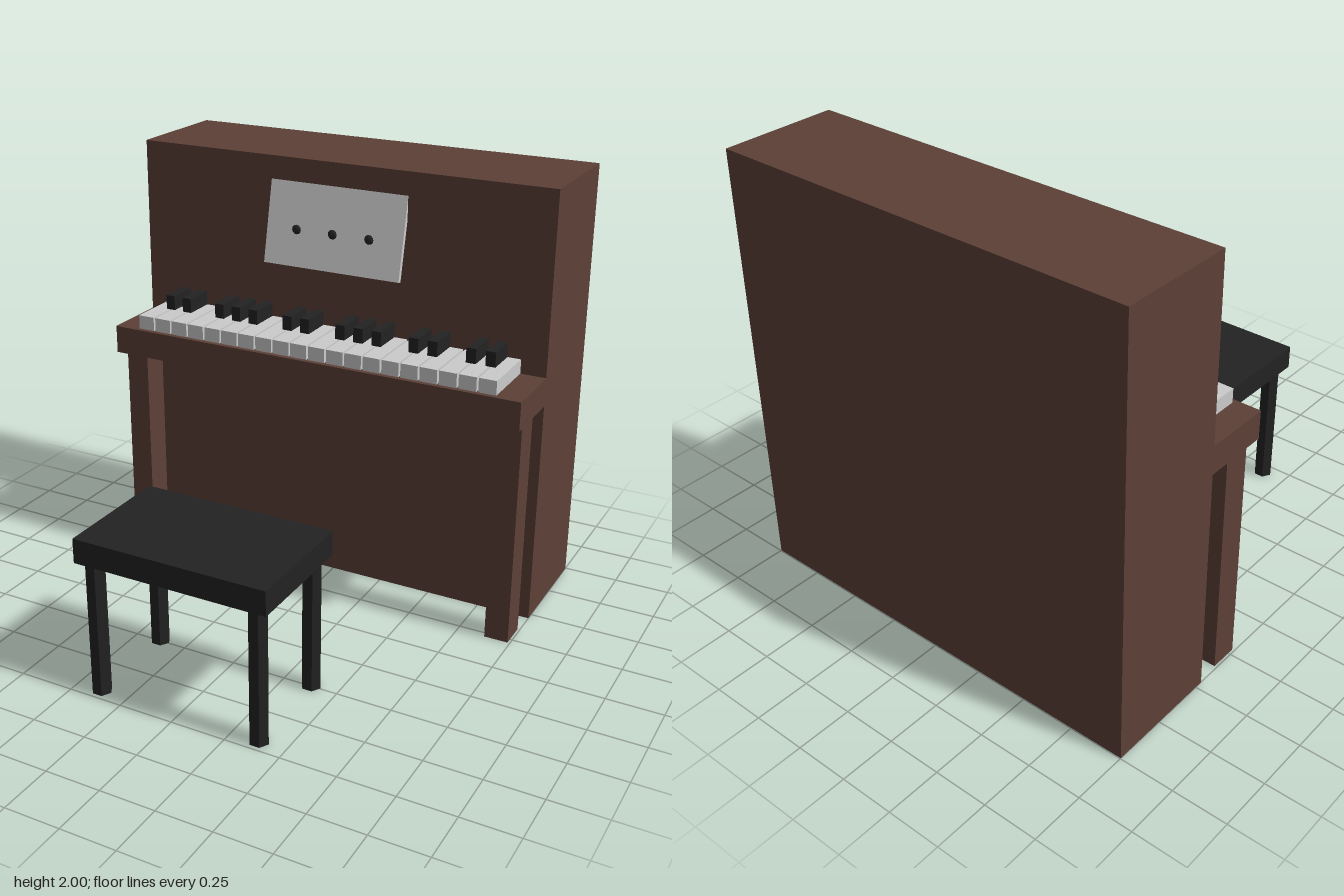
import * as THREE from 'three';

const material = (color) => new THREE.MeshStandardMaterial({ color, flatShading: true });

export function createModel() {
  const piano = new THREE.Group();
  piano.name = 'pianoAndBench';
  const wood = material(0x5d4037);
  const black = material(0x222222);
  const pale = material(0xcccccc);

  const add = (name, geometry, mat, x, y, z) => {
    const mesh = new THREE.Mesh(geometry, mat);
    mesh.name = name;
    mesh.position.set(x, y, z);
    piano.add(mesh);
    return mesh;
  };
  // Box given by its centre x, width, and y and z ranges
  const box = (name, mat, x, width, y0, y1, z0, z1) =>
    add(name, new THREE.BoxGeometry(width, y1 - y0, z1 - z0), mat, x, (y0 + y1) / 2, (z0 + z1) / 2);

  // Case and keyboard shelf
  const front = -0.463;
  box('case', wood, 0, 2, 0, 2, -0.997, front);
  box('keyShelf', wood, 0, 2, 1.05, 1.18, front, -0.152);

  // Shelf legs
  for (const side of [-1, 1]) {
    box('shelfLeg', wood, side * 0.934, 0.11, 0, 1.05, -0.35, -0.22);
  }

  // White keys
  const pitch = 0.0888;
  for (let i = 0; i < 20; i++) {
    box('whiteKey', pale, (i - 9.5) * pitch, 0.08, 1.18, 1.245, front, -0.174);
  }

  // Black keys sit on the gaps in alternating groups of two and three
  for (const i of [-9, -8, -6, -5, -4, -2, -1, 1, 2, 3, 5, 6, 8, 9]) {
    box('blackKey', black, i * pitch, 0.045, 1.245, 1.313, front, -0.316);
  }

  // Sheet music leaning on the case, with three raised notes
  const sheet = add('musicSheet', new THREE.BoxGeometry(0.667, 0.42, 0.022), pale, 0, 1.729, -0.44);
  sheet.rotation.x = -0.205;
  for (const x of [-0.178, 0, 0.178]) {
    const note = add('note', new THREE.SphereGeometry(0.022, 8, 6), black, x, 1.692, -0.407);
    note.scale.z = 0.55;
  }

  // Bench with six-sided legs
  box('benchSeat', black, 0, 0.886, 0.615, 0.725, 0.441, 0.997);
  for (const x of [-0.378, 0.378]) {
    for (const z of [0.496, 0.943]) {
      const leg = add('benchLeg', new THREE.CylinderGeometry(0.044, 0.044, 0.615, 6), black, x, 0.3075, z);
      leg.rotation.y = Math.PI / 2;
    }
  }

  return piano;
}
